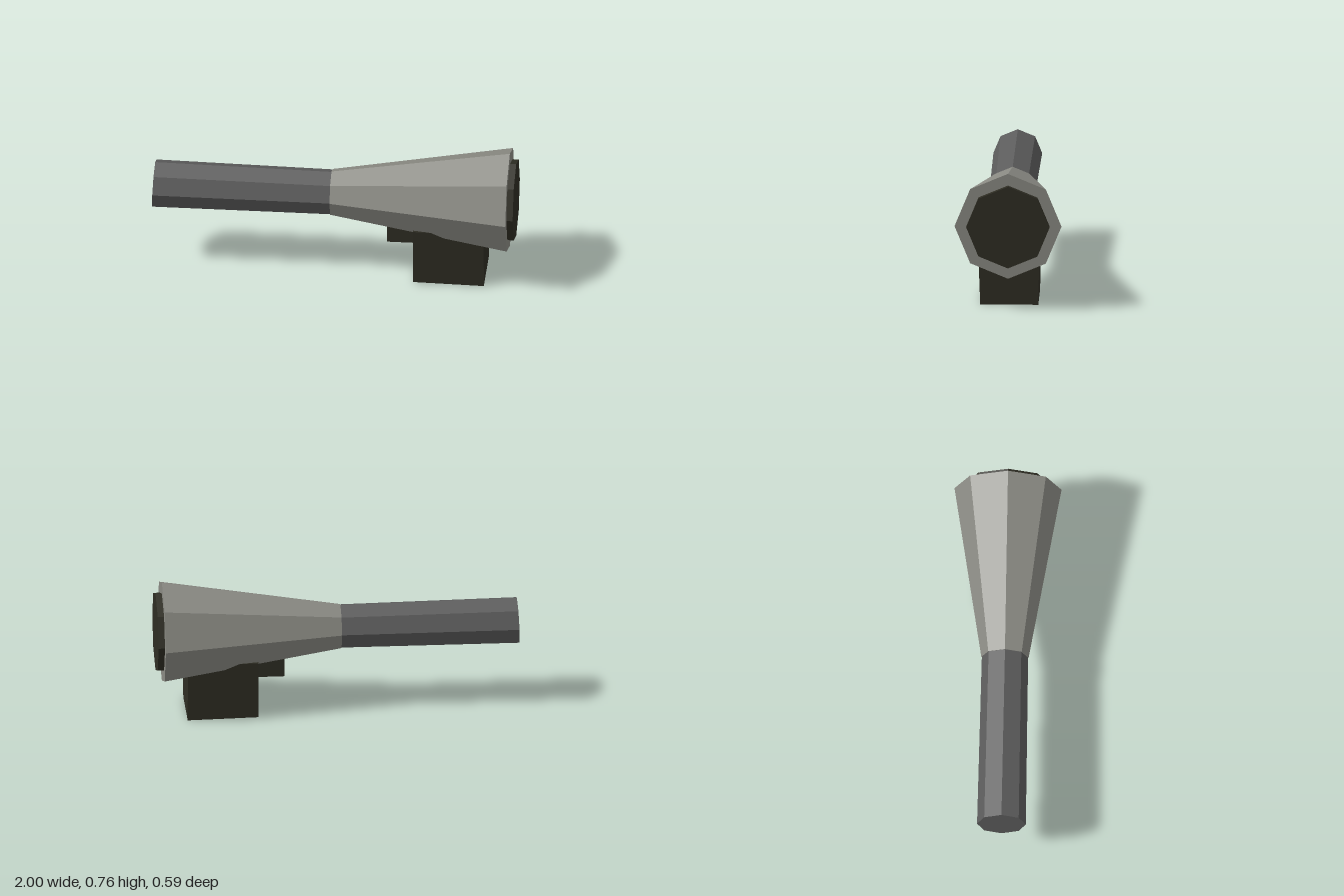
import * as THREE from 'three';

const AXIS_Y = 0.466;

function material(name, color) {
  const m = new THREE.MeshStandardMaterial({ color, flatShading: true });
  m.name = name;
  return m;
}

// Octagonal frustum lying along x, with a corner pointing straight up
function octagon(name, x0, x1, r0, r1, mat) {
  const geo = new THREE.CylinderGeometry(r1, r0, x1 - x0, 8);
  geo.rotateZ(-Math.PI / 2);
  geo.translate((x0 + x1) / 2, AXIS_Y, 0);
  const mesh = new THREE.Mesh(geo, mat);
  mesh.name = name;
  return mesh;
}

// Box from its limits, with every corner moved by a rule
function block(name, [x0, x1], [y0, y1], [z0, z1], mat, rule = () => {}) {
  const geo = new THREE.BoxGeometry(x1 - x0, y1 - y0, z1 - z0);
  geo.translate((x0 + x1) / 2, (y0 + y1) / 2, (z0 + z1) / 2);
  const p = geo.attributes.position;
  const v = new THREE.Vector3();
  for (let i = 0; i < p.count; i++) {
    v.fromBufferAttribute(p, i);
    rule(v);
    p.setXYZ(i, v.x, v.y, v.z);
  }
  geo.computeVertexNormals();
  const mesh = new THREE.Mesh(geo, mat);
  mesh.name = name;
  return mesh;
}

export function createModel() {
  const group = new THREE.Group();
  group.name = 'flaredTube';

  const lightGrey = material('light warm grey', 0x8a8a83);
  const darkGrey = material('dark grey', 0x5c5c5c);
  const nearBlack = material('olive black', 0x2e2d23);

  // Slim handle, its far end lifted a touch and leaning
  const handle = octagon('handle', -0.995, 0, 0.134, 0.127, darkGrey);
  const p = handle.geometry.attributes.position;
  for (let i = 0; i < p.count; i++) {
    const x = p.getX(i), y = p.getY(i), z = p.getZ(i);
    const t = -x / 0.995;
    p.setXYZ(i, x + t * (y - AXIS_Y) * 0.037, y + t * 0.004, z - t * 0.003);
  }
  handle.geometry.computeVertexNormals();
  group.add(handle);

  // Flared head and the dark plate at its mouth
  group.add(octagon('flaredHead', -0.018, 0.965, 0.13, 0.294, lightGrey));
  group.add(octagon('mouthPlate', 0.94, 1, 0.229, 0.229, nearBlack));

  // Hanging box, slightly narrower at the bottom
  group.add(block('lowerBox', [0.445, 0.835], [0, 0.332], [-0.169, 0.168], nearBlack, (v) => {
    if (v.y < 0.1) {
      v.z = v.z > 0 ? 0.156 : -0.163;
      if (v.x < 0.6) v.y = 0.006;
    }
  }));

  // Small block behind the box
  group.add(block('smallBlock', [0.295, 0.46], [0.207, 0.33], [-0.073, 0.073], nearBlack));

  return group;
}
